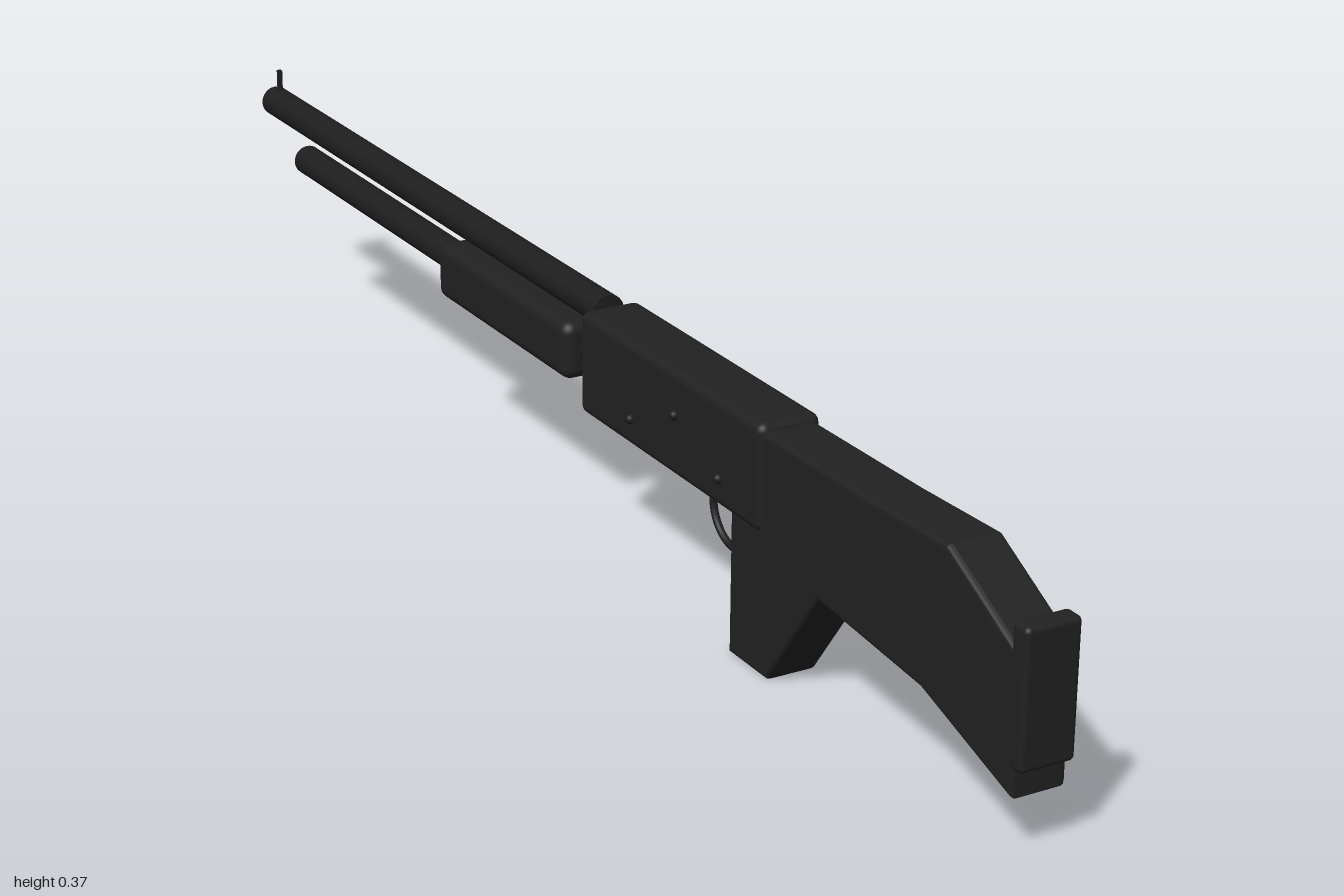
import * as THREE from 'three';
import { RoundedBoxGeometry } from 'three/addons/geometries/RoundedBoxGeometry.js';

const material = (name, color) => {
  const m = new THREE.MeshStandardMaterial({ color });
  m.name = name;
  return m;
};

export function createModel() {
  const polymer = material('black polymer', 0x212121);
  const steel = material('dark steel', 0x1e1e1e);
  const group = new THREE.Group();

  const add = (name, geometry, mat, x = 0, y = 0, z = 0) => {
    const mesh = new THREE.Mesh(geometry, mat);
    mesh.name = name;
    mesh.position.set(x, y, z);
    group.add(mesh);
    return mesh;
  };
  // Rounded box given by its width and its y and z limits
  const block = (name, mat, w, y0, y1, z0, z1, r) =>
    add(name, new RoundedBoxGeometry(w, y1 - y0, z1 - z0, 3, r), mat, 0, (y0 + y1) / 2, (z0 + z1) / 2);
  // Round bar running along z
  const bar = (name, mat, radius, y, z0, z1) =>
    add(name, new THREE.CylinderGeometry(radius, radius, z1 - z0, 32).rotateX(Math.PI / 2), mat, 0, y, (z0 + z1) / 2);

  // Stock and grip: one side outline (z, y) extruded across the width
  const outline = [
    [0.985, 0.08], [0.985, 0.253], [0.85, 0.325], [0.7, 0.32], [0.402, 0.317],
    [0.402, 0.003], [0.488, 0.003], [0.597, 0.152], [0.81, 0.135],
  ].map(([z, y]) => new THREE.Vector2(z, y));
  const bevel = 0.007;
  const depth = 0.073 - 2 * bevel;
  const stock = new THREE.ExtrudeGeometry(new THREE.Shape(outline), {
    depth, bevelEnabled: true, bevelThickness: bevel, bevelSize: bevel, bevelOffset: -bevel, bevelSegments: 3,
  });
  stock.translate(0, 0, -depth / 2).rotateY(-Math.PI / 2);
  // Bring the base of the grip exactly to the ground
  stock.translate(0, -0.003, 0);
  add('stock', stock, polymer);
  block('buttPad', polymer, 0.073, 0.112, 0.284, 0.972, 1, 0.007);

  // Receiver and sliding fore-end
  block('receiver', polymer, 0.085, 0.186, 0.324, 0.038, 0.477, 0.012);
  block('foreEnd', polymer, 0.087, 0.212, 0.291, -0.367, 0.002, 0.016);

  // Barrel, magazine tube and front sight
  bar('barrel', steel, 0.022, 0.315, -1, 0.039);
  bar('magazineTube', steel, 0.0215, 0.253, -0.887, 0.06);
  add('frontSight', new THREE.BoxGeometry(0.006, 0.035, 0.007), steel, 0, 0.3495, -0.982);

  // Trigger guard: lower half ring below the receiver
  const guard = new THREE.TorusGeometry(0.049, 0.005, 10, 32, Math.PI);
  guard.rotateZ(Math.PI).rotateY(Math.PI / 2);
  add('triggerGuard', guard, steel, 0, 0.16, 0.352);

  // Receiver pins on both sides
  for (const [y, z] of [[0.224, 0.385], [0.224, 0.172], [0.268, 0.28]]) {
    const pin = new THREE.SphereGeometry(0.0065, 16, 10);
    for (const side of [-1, 1]) add('pin', pin, steel, side * 0.0435, y, z);
  }

  // Ejection port cover and the small catch below it
  add('ejectionPort', new THREE.BoxGeometry(0.009, 0.021, 0.085), steel, 0.0455, 0.2875, 0.252);
  add('catch', new THREE.BoxGeometry(0.005, 0.035, 0.007), steel, 0.0435, 0.253, 0.262);
  return group;
}
